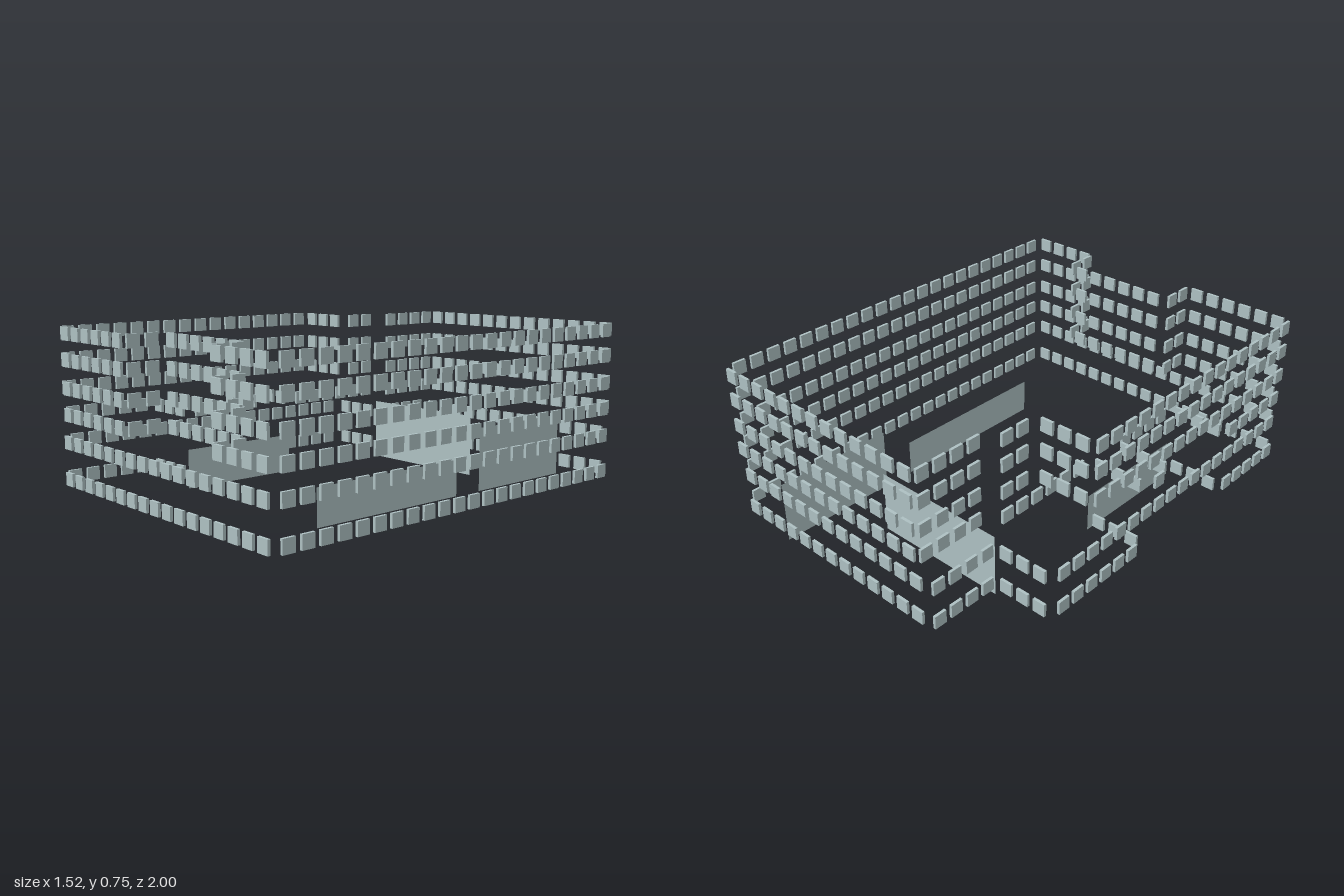
import * as THREE from 'three';

const PITCH = 0.088, SIZE = 0.06, THICK = 0.013;
const ROW_Y = [0.07, 0.235, 0.36, 0.477, 0.603, 0.72];
const GROUND = [0], SECOND = [1], THIRD = [2];
const LOWER = [0, 1], UPPER = [2, 3, 4, 5], TOP = [3, 4, 5], ALL = [0, 1, 2, 3, 4, 5];

export function createModel() {
  const model = new THREE.Group();
  model.name = 'buildingWindows';
  const glass = new THREE.MeshStandardMaterial({ color: 0xadc0c2, side: THREE.DoubleSide });
  glass.name = 'paleGlass';
  const pane = new THREE.BoxGeometry(SIZE, SIZE, THICK);

  // Evenly spaced windows centred on a wall from a to b.
  // axis 'x': wall runs along x at z = at; axis 'z': wall runs along z at x = at.
  function wall(name, axis, at, a, b, rows) {
    const group = new THREE.Group();
    group.name = name;
    const count = Math.floor((b - a) / PITCH);
    for (const row of rows) {
      for (let i = 0; i < count; i++) {
        const p = (a + b) / 2 + (i - (count - 1) / 2) * PITCH;
        const win = new THREE.Mesh(pane, glass);
        win.name = 'window';
        if (axis === 'x') win.position.set(p, ROW_Y[row], at);
        else {
          win.position.set(at, ROW_Y[row], p);
          win.rotation.y = Math.PI / 2;
        }
        group.add(win);
      }
    }
    model.add(group);
  }

  // Large thin glass sheet standing on the ground
  function sheet(name, axis, at, a, b, height) {
    const mesh = new THREE.Mesh(new THREE.PlaneGeometry(b - a, height), glass);
    mesh.name = name;
    const mid = (a + b) / 2;
    if (axis === 'x') mesh.position.set(mid, height / 2, at);
    else {
      mesh.position.set(at, height / 2, mid);
      mesh.rotation.y = Math.PI / 2;
    }
    model.add(mesh);
  }

  // Right side
  wall('rightWall', 'z', 0.755, -1, 1, ALL);

  // Front, with a recess on the upper floors
  wall('frontWallLower', 'x', 0.992, -0.755, 0.755, LOWER);
  wall('frontWallUpperRight', 'x', 0.992, -0.755, -0.2, UPPER);
  wall('frontWallUpperLeft', 'x', 0.992, 0.395, 0.755, UPPER);
  wall('frontRecessBack', 'x', 0.82, -0.2, 0.395, UPPER);
  for (const x of [-0.2, 0.395]) wall('frontRecessSide', 'z', x, 0.82, 1, UPPER);

  // Back and the notched corner
  wall('backWallLower', 'x', -0.994, -0.46, 0.755, LOWER);
  wall('backWallUpper', 'x', -0.994, -0.4, 0.755, UPPER);
  wall('notchSideLower', 'z', -0.46, -1, -0.645, LOWER);
  wall('notchSideUpper', 'z', -0.4, -1, -0.645, UPPER);
  wall('notchEndLower', 'x', -0.645, -0.76, -0.46, LOWER);

  // Ground floor of the side wing, with an open porch
  wall('wingGroundFront', 'z', -0.757, 0.53, 1, GROUND);
  wall('wingGroundBack', 'z', -0.757, -0.645, -0.055, GROUND);
  for (const z of [0.53, -0.055]) wall('porchEnd', 'x', z, -0.76, -0.46, GROUND);

  // Second row runs unbroken
  wall('wingSecond', 'z', -0.757, -0.645, 1, SECOND);

  // Third row steps in around terraces
  wall('wingThirdFront', 'z', -0.757, 0.53, 1, THIRD);
  wall('wingThirdMiddle', 'z', -0.757, -0.055, 0.12, THIRD);
  wall('terraceBack', 'z', -0.46, 0.12, 0.53, THIRD);
  wall('terraceBack', 'z', -0.46, -0.645, -0.055, THIRD);
  for (const z of [0.53, 0.12, -0.055]) wall('terraceEnd', 'x', z, -0.76, -0.46, THIRD);

  // Top rows of the wing
  wall('wingTop', 'z', -0.757, -0.41, 1, TOP);
  wall('wingTopEnd', 'x', -0.41, -0.76, -0.46, TOP);
  wall('wingTopStep', 'z', -0.46, -0.645, -0.41, TOP);

  // Ground-level glass sheets
  sheet('backSheet', 'x', -0.645, -0.46, 0.2, 0.29);
  sheet('tallSideSheet', 'z', 0.455, -0.99, -0.42, 0.29);
  sheet('lowSideSheet', 'z', 0.455, -0.27, 0.54, 0.165);
  sheet('porchSheet', 'z', -0.46, -0.055, 0.53, 0.18);

  return model;
}
